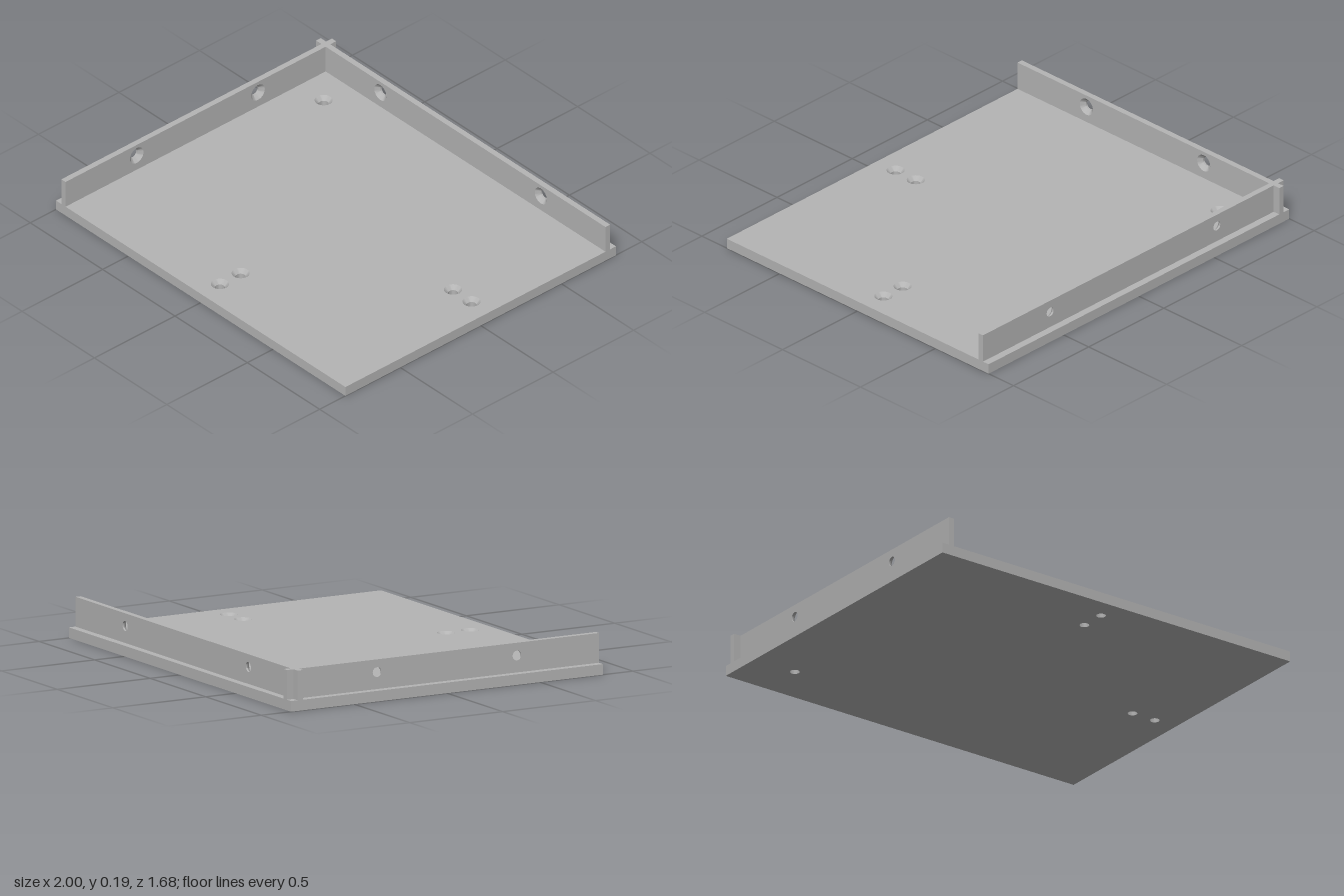
import * as THREE from 'three';
import { toCreasedNormals } from 'three/addons/utils/BufferGeometryUtils.js';

const RIM = 0.042, BORE = 0.023, SINK = 0.02; // countersunk hole sizes

export function createModel() {
  const model = new THREE.Group();
  model.name = 'cornerTray';
  const grey = new THREE.MeshStandardMaterial({ color: 0xb4b4b4 });
  grey.name = 'plain grey';

  // Flat plate in x/y, thickness along +z, countersunk from the +z face
  function plate(name, x0, x1, y0, y1, t, holes = []) {
    const group = new THREE.Group();
    group.name = name;
    const shape = new THREE.Shape([
      new THREE.Vector2(x0, y0), new THREE.Vector2(x1, y0),
      new THREE.Vector2(x1, y1), new THREE.Vector2(x0, y1),
    ]);
    for (const [x, y] of holes) {
      shape.holes.push(new THREE.Path().absarc(x, y, RIM, 0, Math.PI * 2, true));
    }
    const slab = new THREE.Mesh(
      new THREE.ExtrudeGeometry(shape, { depth: t, bevelEnabled: false, curveSegments: 16 }), grey);
    slab.name = name + 'Slab';
    group.add(slab);

    // Conical seat, straight bore and the ring around the bore on the far face
    const profile = [[RIM, t], [BORE, t - SINK], [BORE, 0], [RIM, 0]]
      .map(([r, h]) => new THREE.Vector2(r, h));
    for (const [x, y] of holes) {
      const geo = toCreasedNormals(new THREE.LatheGeometry(profile, 32), 0.5);
      geo.rotateX(Math.PI / 2);
      const hole = new THREE.Mesh(geo, grey);
      hole.name = 'countersunkHole';
      hole.position.set(x, y, 0);
      group.add(hole);
    }
    model.add(group);
    return group;
  }

  const T = 0.029, FLOOR = 0.05, TOP = 0.19, W = 1, D = 0.84;
  const wallX = -0.963, wallZ = -0.804; // outer faces of the two walls

  // Floor, with plate y running towards the back
  const floor = plate('floor', -W, W, -D, D, FLOOR,
    [[-0.77, 0.615], [0.753, 0.05], [0.881, 0.05], [0, -0.592], [0, -0.721]]);
  floor.rotation.x = -Math.PI / 2;

  // Side wall, with plate x running towards the back
  const side = plate('sideWall', -D, D, FLOOR, TOP, T, [[-0.398, 0.13], [0.355, 0.13]]);
  side.rotation.y = Math.PI / 2;
  side.position.x = wallX;

  // Back wall and its short stub beyond the side wall
  const back = plate('backWall', wallX + T, W, FLOOR, TOP, T, [[-0.556, 0.13], [0.553, 0.13]]);
  const stub = plate('backWallStub', -W, wallX, FLOOR, TOP, T);
  back.position.z = stub.position.z = wallZ;

  return model;
}
